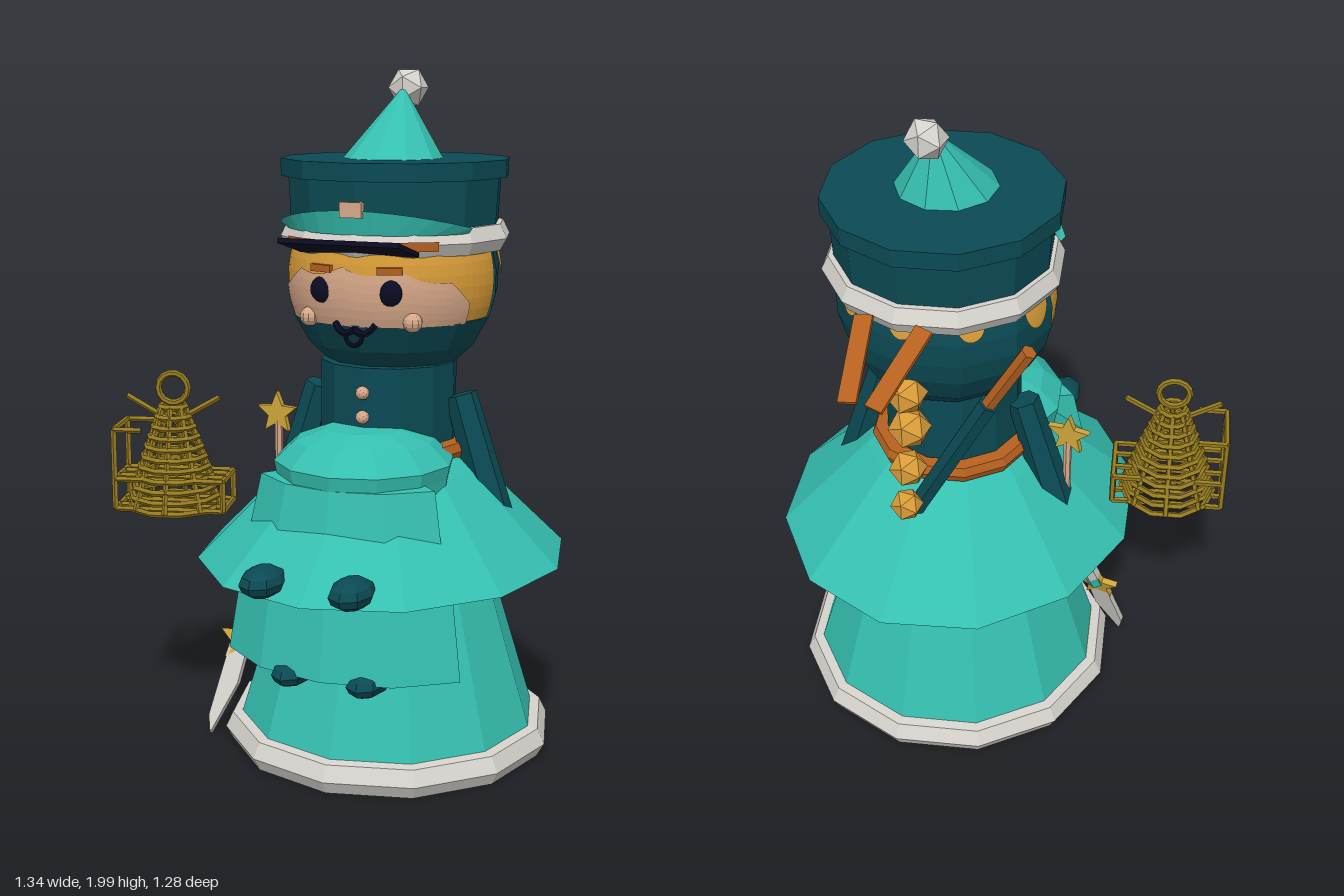
import * as THREE from 'three';
import { ParametricGeometry } from 'three/addons/geometries/ParametricGeometry.js';

const mat = (name, color) => {
  const m = new THREE.MeshStandardMaterial({ color, flatShading: true, side: THREE.DoubleSide });
  m.name = name;
  return m;
};
const teal = mat('teal', 0x35bfb0), dark = mat('darkTeal', 0x0b4a54), white = mat('white', 0xd6d3cd);
const blond = mat('blond', 0xd99c38), skin = mat('skin', 0xd9a98a), orange = mat('orange', 0xb5601f);
const brass = mat('brass', 0x967b20), navy = mat('navy', 0x0b0b24), gold = mat('gold', 0xcda63a);

const V = (x, y, z) => new THREE.Vector3(x, y, z);
const AX = 0.132; // x of the body axis

export function createModel() {
  const root = new THREE.Group();
  const group = (name, x, y, z) => {
    const g = new THREE.Group();
    g.name = name;
    g.position.set(x, y, z);
    root.add(g);
    return g;
  };
  const add = (name, geo, material, x = 0, y = 0, z = 0, parent = root) => {
    const m = new THREE.Mesh(geo, material);
    m.name = name;
    m.position.set(x, y, z);
    parent.add(m);
    return m;
  };
  const lathe = (pts, segs = 12, start = 0, len = Math.PI * 2) =>
    new THREE.LatheGeometry(pts.map(([r, y]) => new THREE.Vector2(r, y)), segs, start, len);
  // tapered rod between two points
  const rod = (name, a, b, r0, r1, material, sides = 6, parent = root) => {
    const d = b.clone().sub(a), c = a.clone().add(b).multiplyScalar(0.5);
    const m = add(name, new THREE.CylinderGeometry(r1, r0, d.length(), sides), material, c.x, c.y, c.z, parent);
    m.quaternion.setFromUnitVectors(V(0, 1, 0), d.normalize());
    return m;
  };
  const star = (name, x, y, z, r, parent) => {
    const s = new THREE.Shape();
    for (let i = 0; i < 10; i++) {
      const a = i * Math.PI / 5, q = i % 2 ? r * 0.45 : r;
      s[i ? 'lineTo' : 'moveTo'](Math.sin(a) * q, Math.cos(a) * q);
    }
    return add(name, new THREE.ExtrudeGeometry(s, { depth: 0.02, bevelEnabled: false }), gold, x, y, z - 0.01, parent);
  };

  // Dress and hem
  add('hem', lathe([[0.44, 0], [0.475, 0], [0.497, 0.04], [0.475, 0.085], [0.44, 0.09]]), white, AX, 0, -0.047);
  add('skirt', lathe([[0, 0.01], [0.46, 0.01], [0.445, 0.09], [0.29, 0.6], [0.2, 0.9]]), teal, AX, 0, -0.047);
  add('cape', lathe([[0.2, 0.6], [0.535, 0.6], [0.275, 0.86], [0.2, 0.92]]), teal, AX).scale.z = 1.12;
  add('torso', new THREE.CylinderGeometry(0.2, 0.2, 0.36, 12), dark, AX, 0.99, -0.04);
  add('belt', lathe([[0.2, 0.885], [0.235, 0.89], [0.245, 0.914], [0.235, 0.938], [0.2, 0.943]]), orange, AX, 0, -0.045);
  for (const y of [1.1, 1.03]) add('button', new THREE.IcosahedronGeometry(0.02, 1), skin, AX, y, 0.165);

  // Arms
  for (const s of [-1, 1])
    rod('arm', V(AX + s * 0.34, 0.69, -0.047), V(AX + s * 0.22, 1.075, -0.047), 0.057, 0.047, dark, 6);
  add('stickTip', new THREE.IcosahedronGeometry(0.018, 0), orange, 0.465, 0.602, -0.05);

  // Stacked front bundle with its small feet
  add('bundleTop', lathe([[0.24, 0.8], [0.25, 0.87], [0.258, 0.91], [0.2, 0.965], [0.11, 1.0], [0, 1.0]]), teal, AX, 0, 0.15);
  const wedge = (name, pts, half, widen) => {
    const g = group(name, AX, 0, 0.1);
    g.scale.x = widen;
    add(name + 'Wall', lathe([...pts, pts[0]], 4, -half, half * 2), teal, 0, 0, 0, g);
    const shape = new THREE.Shape(pts.map(([r, y]) => new THREE.Vector2(r, y)));
    for (const a of [-half, half])
      add(name + 'End', new THREE.ShapeGeometry(shape), teal, 0, 0, 0, g).rotation.y = a - Math.PI / 2;
  };
  wedge('bundleMiddle', [[0.2, 0.7], [0.335, 0.7], [0.3, 0.87], [0.2, 0.88]], 0.92, 1.1);
  wedge('apron', [[0.15, 0.345], [0.37, 0.345], [0.33, 0.62], [0.15, 0.62]], 0.95, 1.18);
  for (const s of [-1, 1]) {
    add('upperFoot', new THREE.SphereGeometry(1, 8, 6), dark, AX + s * 0.13, 0.645, 0.55).scale.set(0.06, 0.043, 0.088);
    add('lowerFoot', new THREE.SphereGeometry(1, 8, 6), dark, AX + s * 0.113, 0.338, 0.385).scale.set(0.058, 0.04, 0.1);
  }

  // Head: hood, hair and face
  const head = group('head', AX, 1.41, -0.07);
  const low = 1.93;
  add('hoodLower', new THREE.SphereGeometry(0.312, 12, 4, 0, Math.PI * 2, low, Math.PI - low), dark, 0, 0, 0, head);
  add('hoodBack', new THREE.SphereGeometry(0.312, 6, 6, Math.PI, Math.PI, 0.6, low - 0.6), dark, 0, 0, 0, head);
  add('hair', new THREE.SphereGeometry(0.306, 32, 12, 0, Math.PI, 0.6, low - 0.6), blond, 0, 0, 0, head);
  const patch = (name, r, p0, p1, top, bottom, material) => add(name, new ParametricGeometry((u, v, t) => {
    const p = p0 + (p1 - p0) * u, th = top(u) + (bottom(u) - top(u)) * v;
    t.set(-Math.cos(p) * Math.sin(th) * r, Math.cos(th) * r, Math.sin(p) * Math.sin(th) * r);
  }, 40, 6), material, 0, 0, 0, head);
  patch('face', 0.309, 0.42, Math.PI - 0.42,
    u => 1.4 + 0.07 * Math.abs(Math.sin(u * 14)) + 2.2 * Math.abs(u - 0.5) ** 3, () => low + 0.02, skin);
  for (const [p, w, d] of [[3.4, 0.16, 0.22], [4.1, 0.12, 0.13], [4.71, 0.12, 0.13], [5.33, 0.12, 0.13], [6.02, 0.16, 0.22]])
    patch('hairTuft', 0.314, p - w, p + w, () => 1.2, u => 1.32 + d * Math.sqrt(Math.sin(u * Math.PI) + 1e-6), blond);
  for (const s of [-1, 1]) {
    add('eye', new THREE.SphereGeometry(0.037, 16, 10), navy, AX + s * 0.1, 1.395, 0.215).scale.z = 0.5;
    add('eyebrow', new THREE.BoxGeometry(0.07, 0.02, 0.02), orange, AX + s * 0.1, 1.455, 0.216).rotation.y = s * 0.3;
    add('cheek', new THREE.SphereGeometry(0.028, 10, 8), skin, AX + s * 0.155, 1.312, 0.18);
    const curl = new THREE.CatmullRomCurve3([V(0, 0, 0), V(s * 0.025, -0.012, 0), V(s * 0.048, 0, -0.005), V(s * 0.06, 0.016, -0.01)]);
    add('moustache', new THREE.TubeGeometry(curl, 8, 0.01, 6), navy, AX, 1.29, 0.228);
  }
  add('mouth', new THREE.TorusGeometry(0.024, 0.007, 6, 10, Math.PI), navy, AX, 1.27, 0.228).rotation.z = Math.PI;

  // Hat
  add('hatBand', lathe([[0.29, 1.49], [0.316, 1.49], [0.336, 1.525], [0.316, 1.565], [0.29, 1.565]]), white, AX, 0, -0.088);
  add('hatCrown', lathe([[0, 1.5], [0.3, 1.5], [0.31, 1.695], [0.332, 1.695], [0.332, 1.745], [0, 1.745]]), dark, AX, 0, -0.083);
  const crest = new THREE.CylinderGeometry(0.335, 0.318, 1, 12, 1, true, -1.05, 2.1);
  const cp = crest.attributes.position;
  for (let i = 0; i < cp.count; i++) {
    const a = Math.atan2(cp.getX(i), cp.getZ(i));
    cp.setY(i, cp.getY(i) > 0 ? 1.565 + 0.053 * Math.cos(a * 1.45) : 1.55);
  }
  add('hatCrest', crest, teal, AX, 0, -0.085);
  add('hatBadge', new THREE.BoxGeometry(0.065, 0.042, 0.02), skin, AX, 1.62, 0.246);
  add('strap', new THREE.CylinderGeometry(0.341, 0.341, 0.026, 12, 1, true, -0.72, 1.44), orange, AX, 1.522, -0.088);
  add('visor', new THREE.BoxGeometry(0.35, 0.014, 0.16), navy, AX, 1.52, 0.268).rotation.x = -0.26;
  const tip = new THREE.ConeGeometry(0.143, 0.2, 10);
  const tp = tip.attributes.position;
  for (let i = 0; i < tp.count; i++) tp.setZ(i, tp.getZ(i) - (tp.getY(i) + 0.1) * 0.4);
  add('hatCone', tip, teal, AX, 1.845, -0.06);
  add('pompom', new THREE.IcosahedronGeometry(0.06, 0), white, AX, 1.94, -0.18);

  // Ribbons and braid at the back
  for (const s of [-1, 1]) {
    const r = rod('ribbon', V(AX + s * 0.086, 1.525, -0.415), V(AX + s * 0.037, 1.405, -0.63), 0.03, 0.03, orange, 4);
    r.geometry.rotateY(Math.PI / 4);
    r.geometry.scale(1.2, 1, 0.3);
    const d = V(-s * 0.049, -0.12, -0.215).normalize();
    const side = d.clone().cross(V(0, 1, -0.558)).normalize();
    r.quaternion.setFromRotationMatrix(new THREE.Matrix4().makeBasis(side, d, side.clone().cross(d)));
  }
  [[1.255, -0.36, 0.06], [1.13, -0.35, 0.062], [1.0, -0.37, 0.055], [0.88, -0.39, 0.048]].forEach(([y, z, r]) =>
    add('braid', new THREE.IcosahedronGeometry(r, 0), blond, AX, y, z));

  // Sheathed baton on the back
  rod('batonSheath', V(0.17, 0.75, -0.33), V(-0.1, 1.27, -0.335), 0.03, 0.03, dark);
  rod('batonHandle', V(-0.1, 1.27, -0.335), V(-0.215, 1.475, -0.34), 0.022, 0.022, orange);

  // Star wand
  star('wandStar', -0.225, 0.975, -0.03, 0.066, root);
  rod('wandStick', V(-0.222, 0.95, -0.03), V(-0.222, 0.6, -0.03), 0.012, 0.012, skin);

  // Hanging blade, swung forward from under the cape
  const sword = group('sword', -0.22, 0.62, -0.03);
  sword.rotation.x = -0.37;
  sword.scale.y = 1.07;
  const end = V(-0.07, -0.33, 0), top = V(0, 0, 0);
  for (let i = 0; i < 8; i++)
    rod('handleBand', top.clone().lerp(end, i / 8), top.clone().lerp(end, (i + 1) / 8), 0.026, 0.026, i % 2 ? teal : white, 6, sword);
  rod('handleCollar', V(-0.008, -0.05, 0), V(-0.016, -0.08, 0), 0.042, 0.042, gold, 8, sword);
  star('bladeStar', -0.075, -0.335, 0, 0.07, sword);
  const blade = new THREE.Shape([[-0.105, -0.35], [-0.045, -0.35], [-0.06, -0.46], [-0.127, -0.61], [-0.14, -0.56]]
    .map(([x, y]) => new THREE.Vector2(x, y)));
  add('blade', new THREE.ExtrudeGeometry(blade, { depth: 0.02, bevelEnabled: false }), white, 0, 0, -0.01, sword);

  // Wire lantern
  const lan = group('lantern', -0.482, 0.71, 0.155);
  lan.rotation.y = 0.27;
  for (let i = 0; i < 11; i++)
    add('lanternRing', new THREE.TorusGeometry(0.138 - 0.1 * (i / 10) ** 1.2, 0.01, 5, 10), brass, 0, i * 0.03, 0, lan)
      .rotation.x = Math.PI / 2;
  const bar = (a, b) => rod('lanternBar', a, b, 0.009, 0.009, brass, 5, lan);
  for (let i = 0; i < 8; i++) {
    const c = Math.cos(i * Math.PI / 4), s = Math.sin(i * Math.PI / 4);
    bar(V(0.138 * c, 0, 0.138 * s), V(0.038 * c, 0.3, 0.038 * s));
  }
  const L = 0.163;
  for (const y of [0, 0.09]) {
    for (const z of [-0.08, -0.03, 0.03, 0.08]) bar(V(-L, y, z), V(L, y, z));
    for (const x of [-L, L]) bar(V(x, y, -0.08), V(x, y, 0.08));
  }
  for (const z of [-0.08, 0.08]) {
    bar(V(-L, 0, z), V(-L, 0.24, z));
    bar(V(-L, 0.24, z), V(-0.08, 0.24, z));
    bar(V(L, 0, z), V(L, 0.09, z));
  }
  bar(V(-L, 0.24, -0.08), V(-L, 0.24, 0.08));
  for (const s of [-1, 1]) bar(V(0, 0.25, 0), V(s * 0.14, 0.33, 0));
  add('lanternHandle', new THREE.TorusGeometry(0.045, 0.01, 6, 14), brass, 0, 0.355, 0, lan);

  return root;
}
